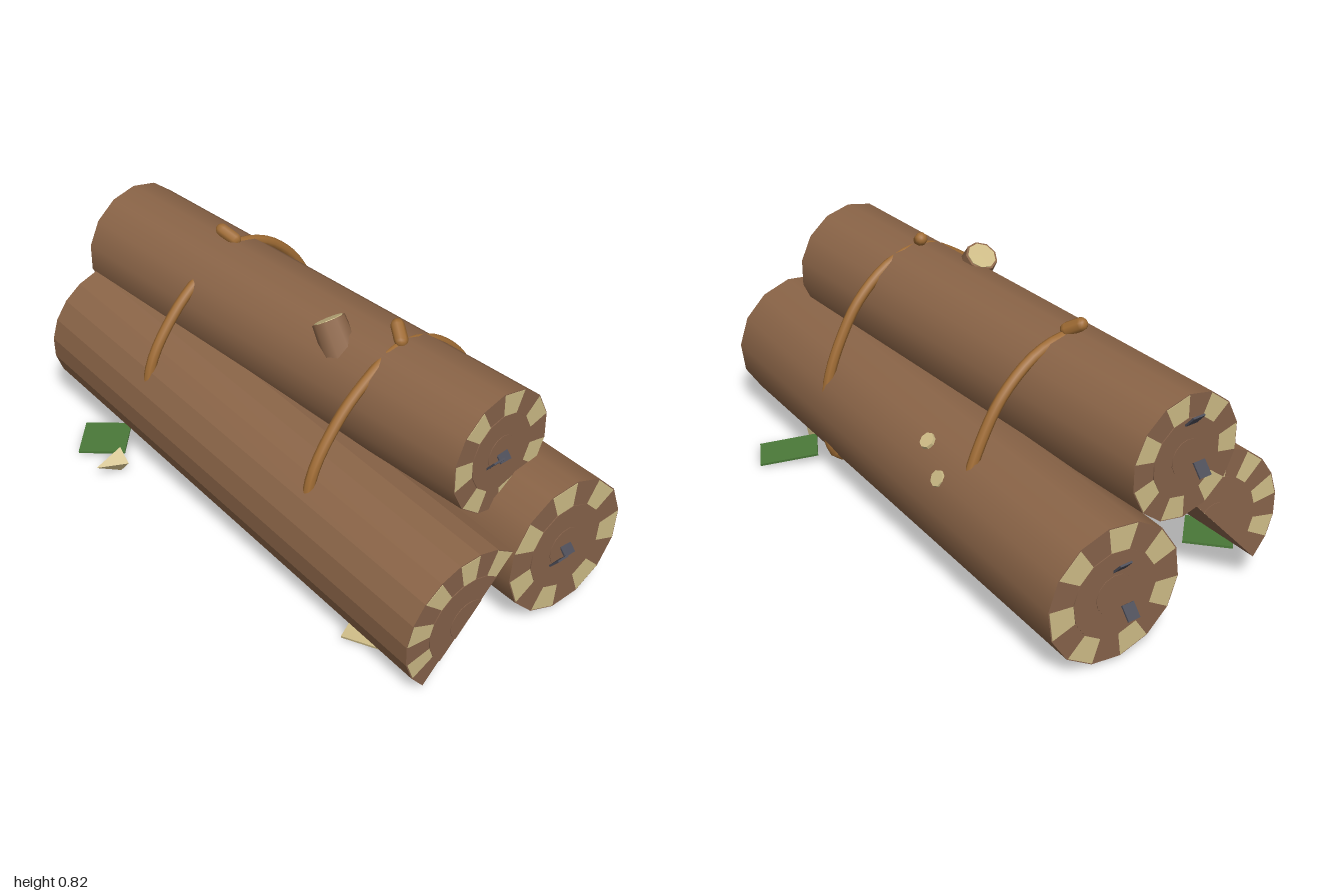
import * as THREE from 'three';

const mat = (name, color, extra = {}) => {
  const m = new THREE.MeshStandardMaterial({ color, ...extra });
  m.name = name;
  return m;
};

export function createModel() {
  const root = new THREE.Group();
  root.name = 'logBundle';
  const bark = mat('bark', 0x8a6447);
  const splitBark = mat('splitBark', 0x8a6447, { flatShading: true });
  const wood = mat('cutWood', 0x86624a);
  const cream = mat('sapwood', 0xcdbb86, { flatShading: true });
  const rope = mat('rope', 0xa06c34);
  const slate = mat('slate', 0x4b4c57);
  const leafGreen = mat('leaf', 0x4a7838);
  const crackBrown = mat('crack', 0x553c2c);

  const V = (x, y, z) => new THREE.Vector3(x, y, z);
  const X = V(1, 0, 0), Y = V(0, 1, 0);
  function add(parent, name, geometry, material, pos, rot) {
    const m = new THREE.Mesh(geometry, material);
    m.name = name;
    if (pos) m.position.set(...pos);
    if (rot) m.rotation.set(...rot);
    parent.add(m);
    return m;
  }
  // Cylinder between two points
  function rod(name, a, b, ra, rb, sides, material) {
    const m = add(root, name, new THREE.CylinderGeometry(rb, ra, a.distanceTo(b), sides), material);
    m.position.copy(a).add(b).multiplyScalar(0.5);
    m.quaternion.setFromUnitVectors(Y, b.clone().sub(a).normalize());
    return m;
  }

  // Log along local x, whole or split, with growth rings and sapwood patches on both ends
  function log(name, a, b, R, sides, start, sweep, skin) {
    const g = new THREE.Group();
    g.name = name;
    const L = a.distanceTo(b);
    g.position.copy(a).add(b).multiplyScalar(0.5);
    g.quaternion.setFromUnitVectors(X, b.clone().sub(a).normalize());
    root.add(g);
    const slab = (r, len, n, t0, t) =>
      new THREE.CylinderGeometry(r, r, len, n, 1, false, t0, t).rotateZ(-Math.PI / 2);
    add(g, 'barkBody', slab(R, L, sides, start, sweep), [skin, wood, wood]);
    const step = sweep / sides;
    for (let i = 0; i < sides; i += 2) {
      add(g, 'sapwoodPatch', slab(R * 0.985, L + 0.003, 1, start + i * step, step), cream);
    }
    add(g, 'outerRing', slab(R * 0.63, L + 0.006, sides, start, sweep), wood);
    add(g, 'innerRing', slab(R * 0.29, L + 0.01, sides, start, sweep), wood);
    return { g, L };
  }

  const turn = Math.PI * 2;
  log('topLog', V(-0.905, 0.573, 0.023), V(0.795, 0.573, -0.03), 0.203, 14, Math.PI / 2, turn, bark);
  log('backLog', V(-0.95, 0.245, -0.262), V(0.957, 0.245, -0.165), 0.23, 14, 0.1, turn, bark);

  // Split front log, flat face turned in and down
  const tilt = 0.73, R = 0.237;
  const { g: half, L: halfL } = log('splitLog', V(-0.895, 0.29, 0.165), V(0.957, 0.2, 0.248),
    R, 10, -tilt - Math.PI / 2, Math.PI, splitBark);
  const flat = new THREE.Group();
  flat.name = 'splitFace';
  flat.rotation.x = Math.PI - tilt;
  half.add(flat);
  add(flat, 'flatFace', new THREE.PlaneGeometry(halfL, 2 * R), wood);
  for (const [x, t] of [[-0.33, 0.015], [0.25, -0.11]]) {
    add(flat, 'splitCrack', new THREE.BoxGeometry(0.9, 0.02, 0.009), crackBrown, [x, t, 0.003]);
  }

  // Branch stub with pale cut
  rod('branchStub', V(0.26, 0.65, 0.09), V(0.172, 0.78, 0.088), 0.062, 0.054, 9, bark);
  rod('stubCut', V(0.174, 0.777, 0.088), V(0.1705, 0.7822, 0.088), 0.047, 0.047, 9, cream);

  // Pale knots on the back log
  for (const [x, y, z, cz] of [[-0.31, 0.365, -0.425, -0.23], [-0.185, 0.42, -0.375, -0.222]]) {
    const n = V(0, y - 0.245, z - cz).normalize();
    const c = V(x, y, z);
    rod('barkKnot', c.clone().addScaledVector(n, -0.02), c.clone().addScaledVector(n, 0.005), 0.028, 0.026, 8, cream);
  }

  // Two rope ties, each with a pair of knot ends
  const loop = [[0.755, 0.01], [0.69, 0.143], [0.6, 0.25], [0.44, 0.355], [0.25, 0.37], [0.1, 0.325],
    [0.055, 0.22], [0.043, 0.08], [0.047, -0.05], [0.045, -0.2], [0.09, -0.36], [0.25, -0.39],
    [0.38, -0.372], [0.5, -0.325], [0.63, -0.245], [0.73, -0.12]];
  for (const s of [-1, 1]) {
    const x = 0.395 * s;
    const path = new THREE.CatmullRomCurve3(loop.map(([y, z]) => V(x, y, z)), true);
    add(root, 'ropeTie', new THREE.TubeGeometry(path, 64, 0.018, 8, true), rope);
    const knot = add(root, 'ropeKnot', new THREE.CapsuleGeometry(0.022, 0.05, 4, 8), rope);
    knot.position.set(x - 0.018, 0.79, s < 0 ? 0.003 : -0.012);
    knot.quaternion.setFromUnitVectors(Y, V(-0.75, 0.5, -0.4 * s).normalize());
  }

  // Thin slate flakes wedged in the log ends: x, y, z, tilt
  for (const [x, y, z, r] of [
    [0.80, 0.57, -0.03, 0.7], [0.813, 0.56, 0.012, -0.7],
    [0.965, 0.245, -0.163, 0.7], [0.98, 0.227, -0.115, -0.7],
    [-0.925, 0.70, 0.03, 0.7], [-0.93, 0.53, 0.065, -0.7],
    [-0.965, 0.34, -0.25, 0.7], [-0.975, 0.18, -0.22, -0.7],
  ]) {
    add(root, 'slateFlake', new THREE.BoxGeometry(0.006, 0.05, 0.043), slate, [x, y, z], [0, 0, r]);
  }

  // Leaves and wood chips on the ground
  add(root, 'frontLeaf', new THREE.BoxGeometry(0.16, 0.008, 0.16), leafGreen, [-0.64, 0.03, 0.395], [0.05, Math.PI / 4, 0]);
  const backLeaf = add(root, 'backLeaf', new THREE.BoxGeometry(0.12, 0.008, 0.2), leafGreen, [0.592, 0.03, -0.432]);
  backLeaf.rotation.set(-0.18, -Math.PI / 6, 0);
  add(root, 'flatChip', new THREE.BoxGeometry(0.16, 0.008, 0.16), cream, [0.67, 0.03, 0.335], [0.21, 0.35, 0]);
  add(root, 'frontChip', new THREE.ConeGeometry(0.045, 0.1, 4), cream, [-0.49, 0.053, 0.488], [Math.PI / 2 - 0.1, 0.1, 0]);
  add(root, 'backChip', new THREE.ConeGeometry(0.03, 0.05, 4), cream, [0.62, 0.043, -0.3], [Math.PI / 2, 0.4, 0]);

  return root;
}
